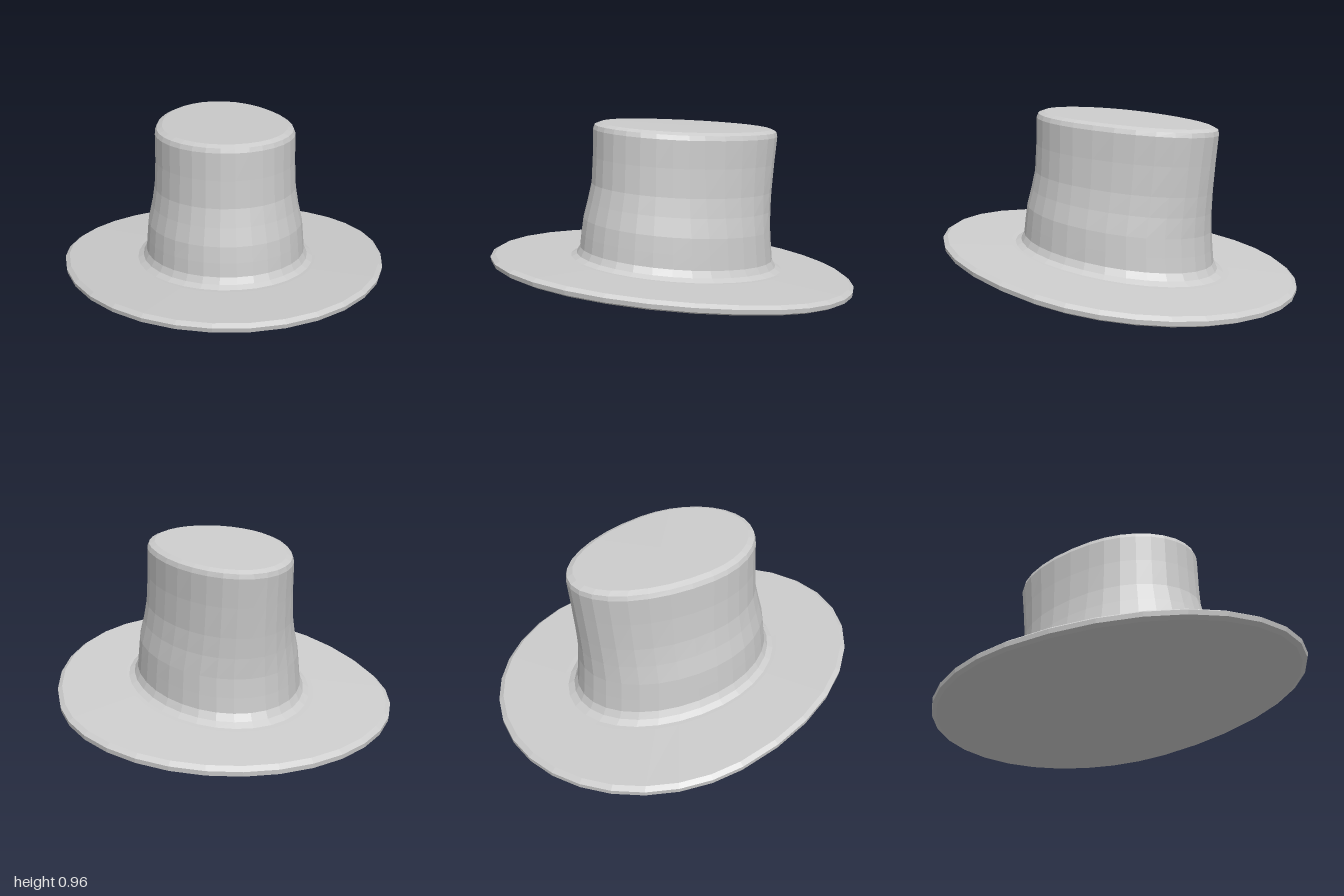
import * as THREE from 'three';

const SIDES = 32;

// Skin of egg-shaped, tilted rings.
// Each ring: [y at z = 0, slope along z, half width, front z, back z, z of widest point]
function eggLoft(name, rings) {
  const positions = [];
  const index = [];
  rings.forEach(([y, slope, halfWidth, front, back, mid]) => {
    for (let j = 0; j < SIDES; j++) {
      const a = (j / SIDES) * Math.PI * 2;
      const c = Math.cos(a);
      const z = mid + c * (c > 0 ? front - mid : mid - back);
      positions.push(halfWidth * Math.sin(a), y + slope * z, z);
    }
  });
  for (let i = 0; i < rings.length - 1; i++) {
    for (let j = 0; j < SIDES; j++) {
      const k = (j + 1) % SIDES;
      const a = i * SIDES + j, b = i * SIDES + k;
      const c = b + SIDES, d = a + SIDES;
      index.push(a, b, c, a, c, d);
    }
  }
  const geometry = new THREE.BufferGeometry();
  geometry.setAttribute('position', new THREE.Float32BufferAttribute(positions, 3));
  geometry.setIndex(index);
  geometry.computeVertexNormals();
  const material = new THREE.MeshStandardMaterial({ color: 0xcccccc, flatShading: true });
  const mesh = new THREE.Mesh(geometry, material);
  mesh.name = name;
  return mesh;
}

export function createModel() {
  const hat = new THREE.Group();
  hat.name = 'hat';

  // Tilted brim: closed underside, rounded rim, top running in under the crown
  const tilt = 0.122;
  hat.add(eggLoft('brim', [
    [0.125, tilt, 0, -0.1, -0.1, -0.1],
    [0.125, tilt, 0.86, 0.97, -0.975, -0.15],
    [0.137, tilt, 0.882, 0.995, -0.998, -0.15],
    [0.16, tilt, 0.885, 1.0, -1.0, -0.15],
    [0.177, tilt, 0.862, 0.975, -0.975, -0.15],
    [0.183, tilt, 0.5, 0.6, -0.66, -0.02],
    [0.18, tilt, 0.4, 0.48, -0.52, 0],
  ]));

  // Crown: flared foot, waisted wall, bevelled edge and nearly flat sloping top
  hat.add(eggLoft('crown', [
    [0.18, tilt, 0.485, 0.575, -0.635, 0],
    [0.2, tilt, 0.45, 0.54, -0.595, 0],
    [0.235, tilt, 0.432, 0.522, -0.575, 0],
    [0.31, 0.12, 0.426, 0.513, -0.568, 0],
    [0.4, 0.11, 0.418, 0.5, -0.562, 0],
    [0.5, 0.1, 0.395, 0.475, -0.566, 0],
    [0.6, 0.09, 0.379, 0.452, -0.575, 0],
    [0.75, 0.08, 0.371, 0.443, -0.592, 0],
    [0.895, 0.074, 0.37, 0.438, -0.61, 0],
    [0.919, 0.074, 0.36, 0.43, -0.606, 0],
    [0.932, 0.074, 0.33, 0.4, -0.575, 0],
    [0.934, 0.074, 0, -0.09, -0.09, -0.09],
  ]));

  return hat;
}
